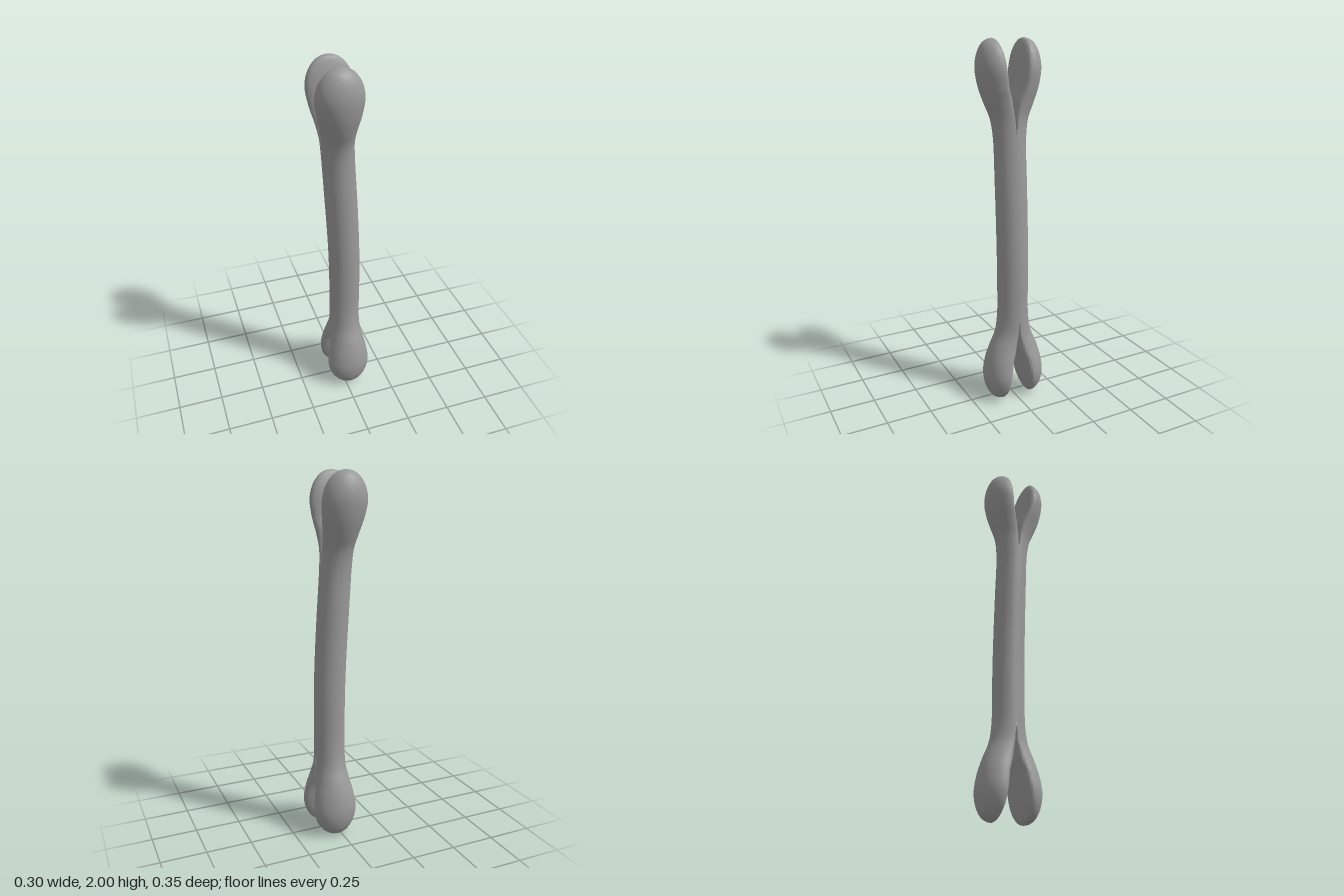
import * as THREE from 'three';
import { toCreasedNormals } from 'three/addons/utils/BufferGeometryUtils.js';

// Stations from mid shaft to the top of a knuckle:
// [height, half width, outer z, inner z, z of the widest point]
const STATIONS = [
  [1.0, 0.086, 0.086, 0, 0],
  [1.25, 0.086, 0.086, 0, 0],
  [1.5, 0.085, 0.088, 0, 0],
  [1.6, 0.086, 0.104, 0, 0.008],
  [1.68, 0.096, 0.136, 0, 0.035],
  [1.76, 0.113, 0.161, 0.025, 0.06],
  [1.85, 0.123, 0.173, 0.038, 0.075],
  [1.92, 0.107, 0.164, 0.052, 0.08],
  [1.97, 0.072, 0.142, 0.068, 0.085],
  [1.992, 0.037, 0.117, 0.079, 0.088],
  [2.0, 0, 0.09, 0.09, 0.09],
];
const STEPS = 6;
const SIDES = 56;

// Smooth cross-section stations over the whole length, the lower end mirroring the upper
function makeStations() {
  const outer = new THREE.CatmullRomCurve3(STATIONS.map((s) => new THREE.Vector3(s[0], s[1], s[2])));
  const inner = new THREE.CatmullRomCurve3(STATIONS.map((s) => new THREE.Vector3(s[3], s[4], 0)));
  const n = (STATIONS.length - 1) * STEPS;
  const upper = [];
  for (let i = 0; i <= n; i++) {
    const a = outer.getPoint(i / n), b = inner.getPoint(i / n);
    const zi = Math.max(0, b.x);
    upper.push({ y: a.x, w: Math.max(0, a.y), zo: a.z, zi, zm: Math.max(zi, b.y) });
  }
  const lower = upper.slice(1).reverse().map((s) => ({ ...s, y: 2 - s.y }));
  return [...lower, ...upper];
}

// Sideways bow of the bone
const bow = (y) => 0.025 - 0.055 * THREE.MathUtils.smoothstep(y, 0.7, 2.0);

// One half of the bone; side is +1 (front) or -1 (back)
function makeHalf(stations, side) {
  const positions = [], index = [];
  for (const s of stations) {
    for (let j = 0; j < SIDES; j++) {
      const a = (j / SIDES) * Math.PI * 2, sin = Math.sin(a);
      const depth = sin > 0 ? s.zo - s.zm : s.zm - s.zi;
      positions.push(bow(s.y) + s.w * Math.cos(a), s.y, side * (s.zm + sin * depth));
    }
  }
  const tri = (a, b, c) => (side > 0 ? index.push(a, b, c) : index.push(a, c, b));
  for (let i = 0; i < stations.length - 1; i++) {
    const lo = stations[i], hi = stations[i + 1];
    // the solid shaft needs no inner wall
    const count = lo.zm < 0.001 && hi.zm < 0.001 ? SIDES / 2 : SIDES;
    for (let j = 0; j < count; j++) {
      const k = (j + 1) % SIDES;
      const a = i * SIDES + j, b = a + SIDES, c = i * SIDES + k, d = c + SIDES;
      if (lo.w > 0) tri(a, d, c);
      if (hi.w > 0) tri(a, b, d);
    }
  }
  const geometry = new THREE.BufferGeometry();
  geometry.setAttribute('position', new THREE.Float32BufferAttribute(positions, 3));
  geometry.setIndex(index);
  return toCreasedNormals(geometry, Math.PI / 3);
}

export function createModel() {
  const model = new THREE.Group();
  model.name = 'bone';
  const grey = new THREE.MeshStandardMaterial({ color: 0x999999 });
  grey.name = 'bone grey';
  const stations = makeStations();
  for (const [name, side] of [['frontHalf', 1], ['backHalf', -1]]) {
    const mesh = new THREE.Mesh(makeHalf(stations, side), grey);
    mesh.name = name;
    model.add(mesh);
  }
  return model;
}
